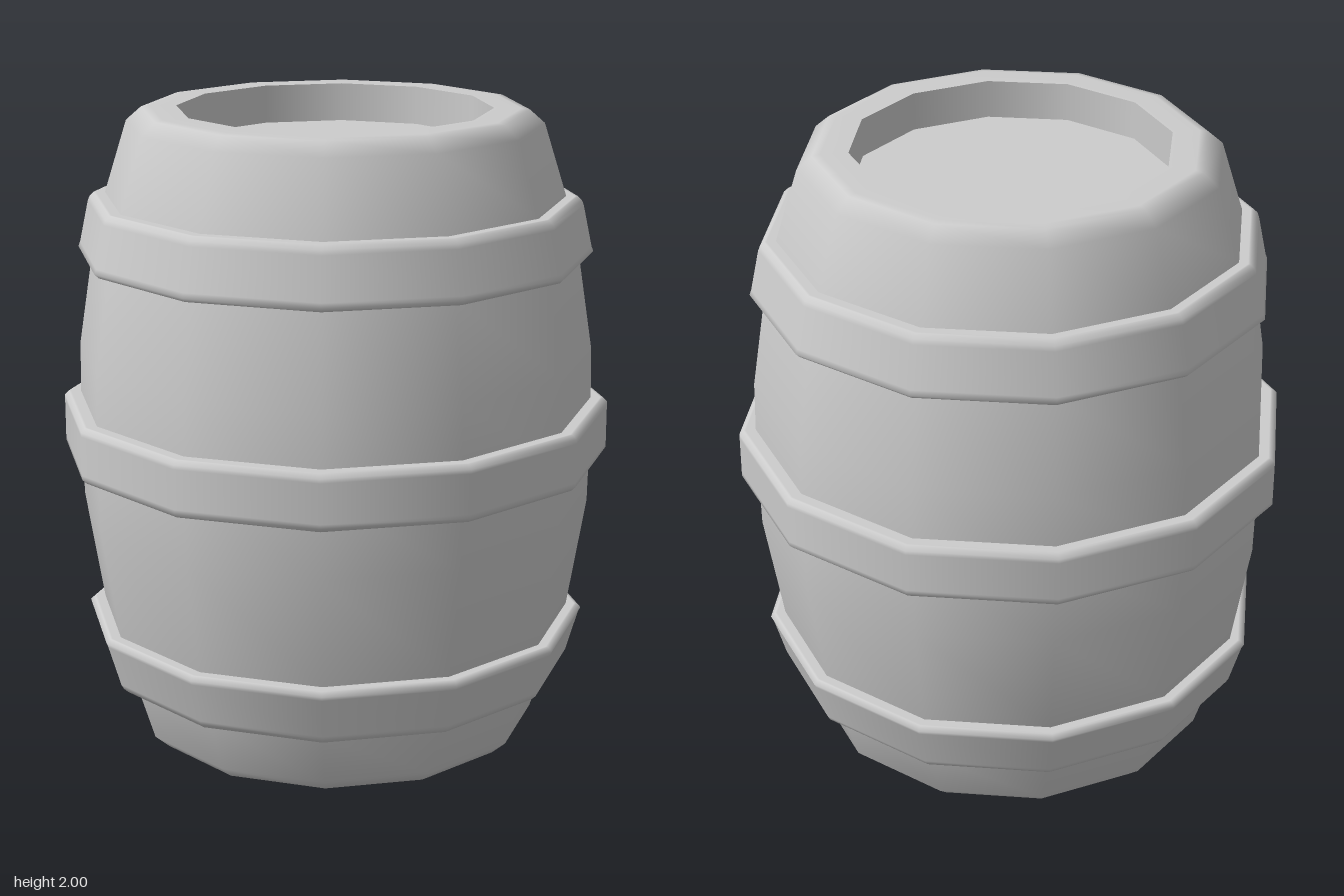
import * as THREE from 'three';

const SIDES = 12;
const FLAT = Math.cos(Math.PI / SIDES); // flat-to-centre distance over corner radius

export function createModel() {
  const group = new THREE.Group();
  const grey = new THREE.MeshStandardMaterial({ color: 0xcccccc });
  grey.name = 'plain grey';

  // Twelve-sided turned part; profile is [distance to flat side, height]
  function turned(name, profile) {
    const points = profile.map(([r, y]) => new THREE.Vector2(r / FLAT, y));
    const geometry = new THREE.LatheGeometry(points, SIDES, Math.PI / SIDES);
    const mesh = new THREE.Mesh(geometry, grey);
    mesh.name = name;
    group.add(mesh);
  }

  // Bulging body with softened bottom and top edges
  turned('barrelBody', [
    [0, 0], [0.54, 0], [0.57, 0.004], [0.615, 0.045], [0.665, 0.21], [0.72, 0.4],
    [0.775, 0.75], [0.78, 1], [0.775, 1.25], [0.73, 1.55], [0.688, 1.73],
    [0.62, 1.955], [0.575, 1.996], [0.55, 2], [0.47, 2],
  ]);

  // Sunken lid
  turned('rimInnerWall', [[0.47, 2], [0.47, 1.88]]);
  turned('lid', [[0.47, 1.88], [0, 1.88]]);

  // Hoop with small bevels: heights y0..y1, outer distances r0 (bottom) and r1 (top)
  function hoop(name, y0, y1, r0, r1) {
    const b = 0.013;
    const at = (t) => r0 + (r1 - r0) * t;
    turned(name, [
      [at(0) - 0.09, y0], [at(0) - 0.02, y0], [at(0) - b, y0],
      [r0, y0 + b], [at(0.15), y0 + (y1 - y0) * 0.15],
      [at(0.85), y0 + (y1 - y0) * 0.85], [r1, y1 - b],
      [at(1) - b, y1], [at(1) - 0.02, y1], [at(1) - 0.09, y1],
    ]);
  }
  hoop('upperHoop', 1.545, 1.73, 0.773, 0.735);
  hoop('middleHoop', 0.915, 1.09, 0.828, 0.828);
  hoop('lowerHoop', 0.215, 0.4, 0.715, 0.766);

  return group;
}
